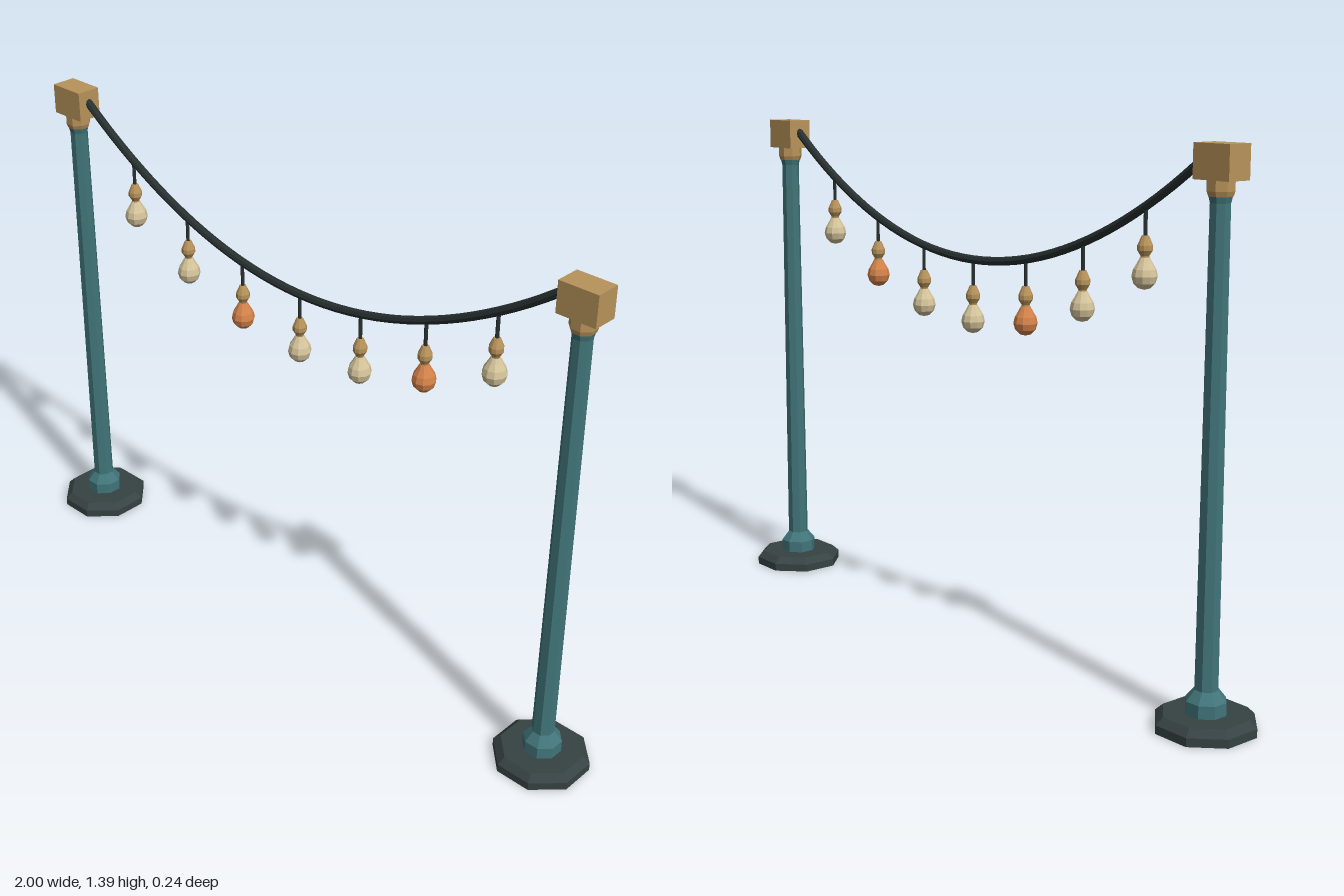
import * as THREE from 'three';

const mat = (name, color) => {
  const m = new THREE.MeshStandardMaterial({ color, flatShading: true });
  m.name = name;
  return m;
};

export function createModel() {
  const teal = mat('teal paint', 0x41757a);
  const iron = mat('dark iron', 0x364243);
  const brass = mat('brass', 0xb8935a);
  const black = mat('cable black', 0x283130);
  const cream = mat('cream glass', 0xd6c59c);
  const amber = mat('amber glass', 0xd5834a);

  const root = new THREE.Group();
  root.name = 'stringLights';

  const add = (parent, name, geometry, material, x = 0, y = 0, z = 0) => {
    const mesh = new THREE.Mesh(geometry, material);
    mesh.name = name;
    mesh.position.set(x, y, z);
    parent.add(mesh);
    return mesh;
  };

  // Turned profile from [radius, y] pairs, listed bottom to top
  const lathe = (points, sides) =>
    new THREE.LatheGeometry(points.map(([r, y]) => new THREE.Vector2(r, y)), sides);

  // Octagonal profile whose radii are measured to the flats, with flats facing x and z
  const octagon = (points) =>
    lathe(points.map(([r, y]) => [r / Math.cos(Math.PI / 8), y]), 8).rotateY(Math.PI / 8);

  // Posts with foot, collar and brass cap
  const footGeo = octagon([[0, 0], [0.12, 0], [0.12, 0.022], [0.102, 0.04], [0, 0.04]]);
  const postGeo = octagon([
    [0.048, 0.038], [0.048, 0.073], [0.028, 0.1], [0.0235, 1.26], [0.028, 1.28], [0, 1.28],
  ]);
  const neckGeo = octagon([[0, 1.275], [0.028, 1.275], [0.032, 1.287], [0.032, 1.315]]);
  const capGeo = new THREE.BoxGeometry(0.11, 0.083, 0.07);
  for (const side of [-1, 1]) {
    const post = new THREE.Group();
    post.name = side > 0 ? 'leftPost' : 'rightPost';
    post.position.x = side * 0.88;
    add(post, 'foot', footGeo, iron);
    add(post, 'post', postGeo, teal);
    add(post, 'neck', neckGeo, brass);
    add(post, 'cap', capGeo, brass, 0, 1.3535);
    root.add(post);
  }

  // Sagging cable
  const sag = (x) => 1.05 + 0.31 * (x / 0.83) ** 2;
  const path = [];
  for (let i = 0; i <= 16; i++) {
    const x = -0.84 + (1.68 * i) / 16;
    path.push(new THREE.Vector3(x, sag(x), 0));
  }
  add(root, 'cable', new THREE.TubeGeometry(new THREE.CatmullRomCurve3(path), 40, 0.0115, 8), black);

  // Hanging bulbs, measured down from the cable
  const wireGeo = new THREE.CylinderGeometry(0.005, 0.005, 0.08, 6);
  const socketGeo = lathe([
    [0, -0.132], [0.01, -0.13], [0.011, -0.118], [0.019, -0.105], [0.019, -0.093], [0.009, -0.07], [0, -0.07],
  ], 10);
  const bulbGeo = lathe([
    [0, -0.2], [0.015, -0.196], [0.027, -0.184], [0.032, -0.167],
    [0.028, -0.15], [0.019, -0.135], [0.012, -0.122], [0, -0.121],
  ], 10);
  for (let i = -3; i <= 3; i++) {
    const x = i * 0.215;
    const light = new THREE.Group();
    light.name = 'light' + (i + 4);
    light.position.set(x, sag(x), 0);
    add(light, 'wire', wireGeo, black, 0, -0.04);
    add(light, 'socket', socketGeo, brass);
    add(light, 'bulb', bulbGeo, i === -1 || i === 2 ? amber : cream);
    root.add(light);
  }
  return root;
}
